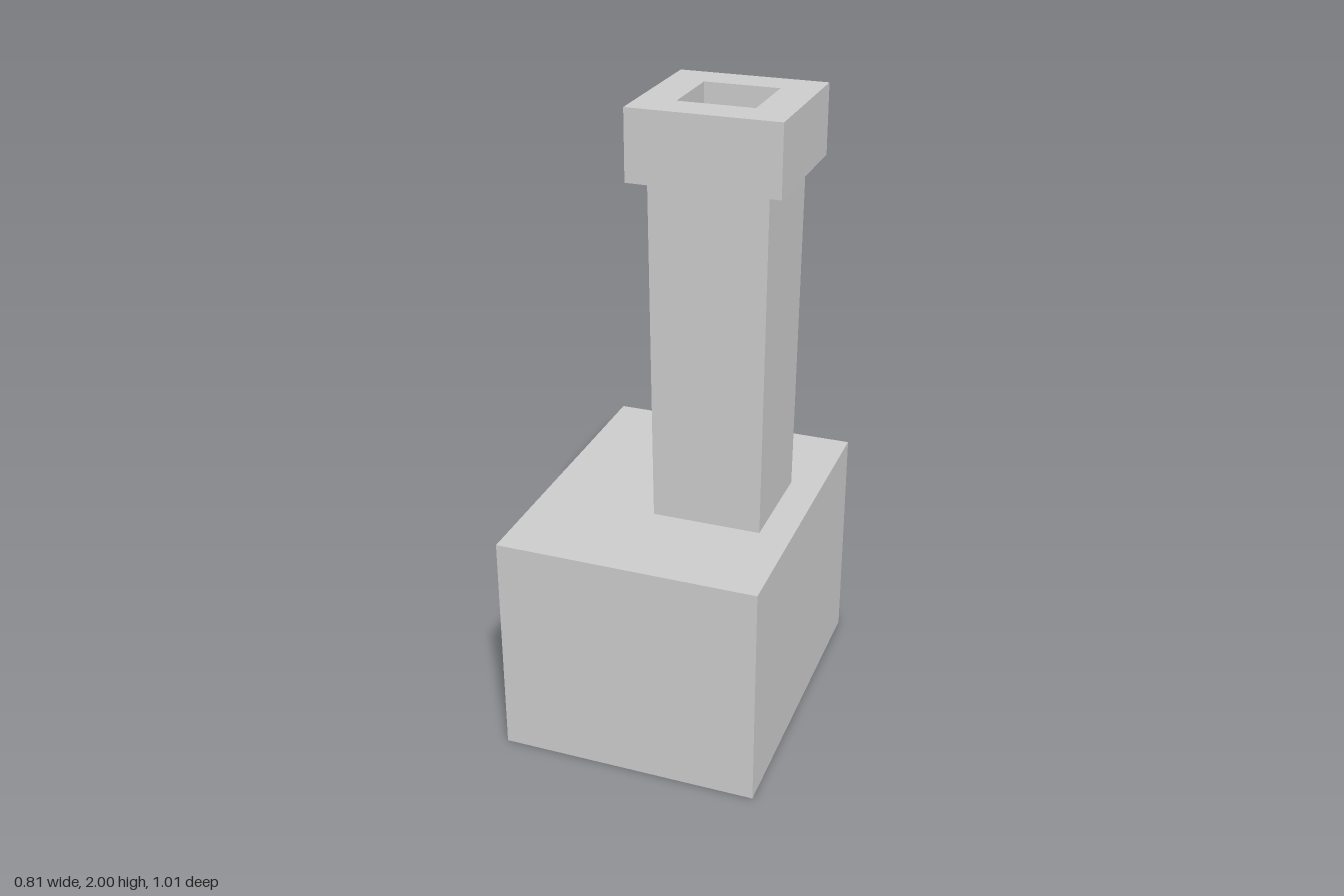
import * as THREE from 'three';

const material = new THREE.MeshStandardMaterial({ color: 0xcccccc, flatShading: true });

// Skins a row of four-cornered loops; each end may be closed with a face.
function loft(name, loops, closeStart, closeEnd) {
  const points = [];
  const quad = (a, b, c, d) => points.push(...a, ...b, ...c, ...a, ...c, ...d);
  for (let k = 0; k < loops.length - 1; k++) {
    const p = loops[k], q = loops[k + 1];
    for (let i = 0; i < 4; i++) {
      const j = (i + 1) % 4;
      quad(p[i], p[j], q[j], q[i]);
    }
  }
  if (closeStart) quad(...[...loops[0]].reverse());
  if (closeEnd) quad(...loops[loops.length - 1]);
  const geometry = new THREE.BufferGeometry();
  geometry.setAttribute('position', new THREE.Float32BufferAttribute(points, 3));
  geometry.computeVertexNormals();
  const mesh = new THREE.Mesh(geometry, material);
  mesh.name = name;
  return mesh;
}

// Upright rectangle facing -x
const section = (x, halfZ, y0, y1) =>
  [[x, y0, halfZ], [x, y1, halfZ], [x, y1, -halfZ], [x, y0, -halfZ]];

// Level square facing up
const square = (y, h) => [[h, y, h], [h, y, -h], [-h, y, -h], [-h, y, h]];

export function createModel() {
  const group = new THREE.Group();

  // Hollow body, open on the -x side, with a thin floor
  group.add(loft('body', [
    section(0.407, 0.505, 0, 0.72),
    section(-0.407, 0.505, 0, 0.72),
    section(-0.407, 0.4, 0.004, 0.628),
    section(0.305, 0.4, 0.004, 0.628),
  ], true, true));

  // Chimney, set off towards +x
  const chimney = new THREE.Group();
  chimney.name = 'chimney';
  chimney.position.x = 0.137;

  // Shaft, slightly wider at the top
  chimney.add(loft('chimneyShaft', [square(0.72, 0.17), square(1.788, 0.178)], false, false));

  // Overhanging cap with the flue sunk into it
  chimney.add(loft('chimneyCap', [
    square(1.788, 0.178),
    square(1.788, 0.226),
    square(2, 0.226),
    square(2, 0.114),
    square(1.7, 0.114),
  ], false, true));

  group.add(chimney);
  return group;
}
